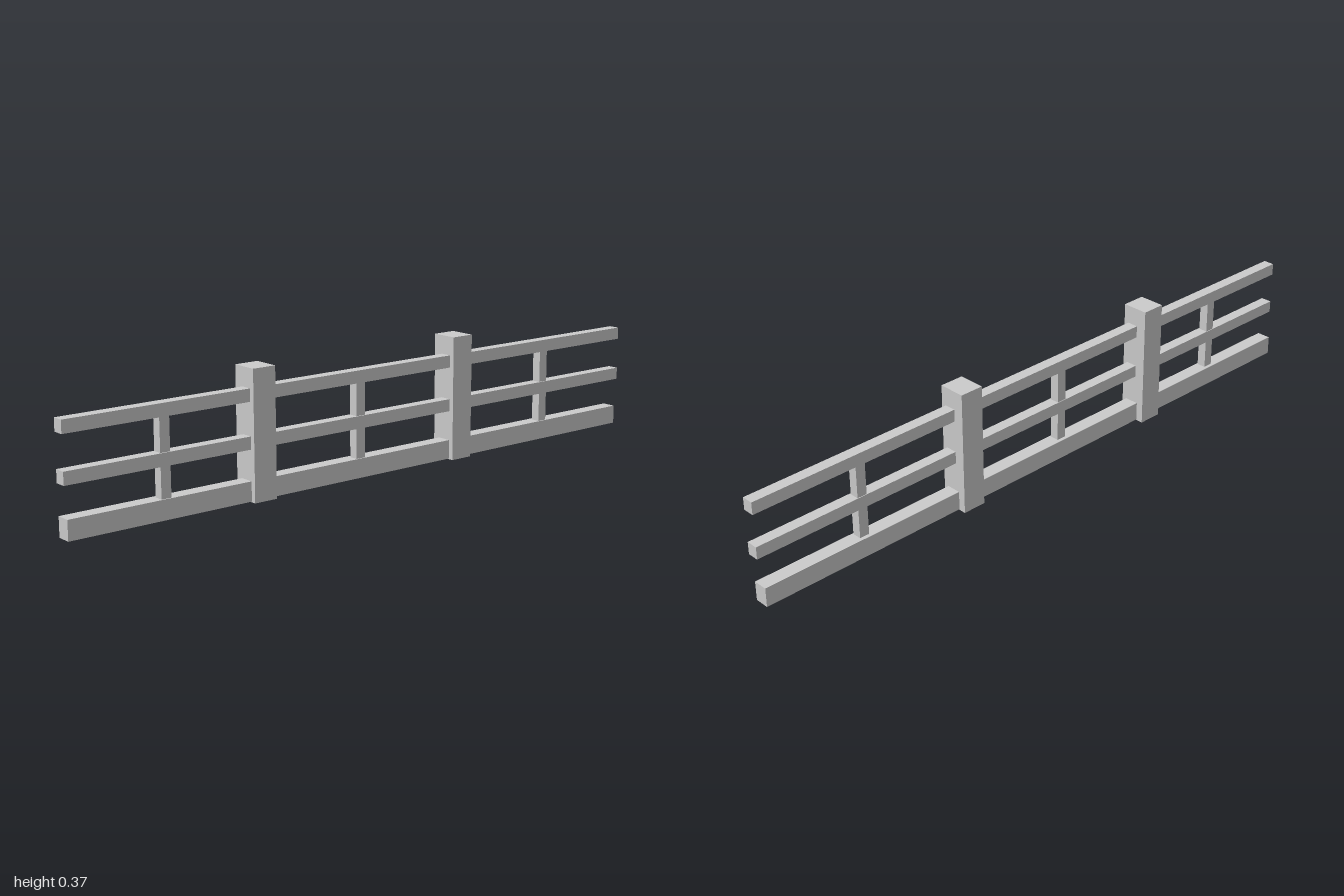
import * as THREE from 'three';

export function createModel() {
  const group = new THREE.Group();
  const material = new THREE.MeshStandardMaterial({ color: 0xcccccc, flatShading: true });

  // Box given by its extents on each axis
  const addBox = (name, [x0, x1], [y0, y1], [z0, z1]) => {
    const mesh = new THREE.Mesh(new THREE.BoxGeometry(x1 - x0, y1 - y0, z1 - z0), material);
    mesh.position.set((x0 + x1) / 2, (y0 + y1) / 2, (z0 + z1) / 2);
    mesh.name = name;
    group.add(mesh);
  };

  // Horizontal rails, set slightly forward of the post centres
  addBox('bottomRail', [-0.994, 0.991], [0.002, 0.058], [-0.018, 0.025]);
  addBox('middleRail', [-1, 1], [0.145, 0.181], [-0.009, 0.025]);
  addBox('topRail', [-1, 1], [0.275, 0.311], [-0.009, 0.025]);

  // Two main posts
  for (const x of [-0.403, 0.31]) {
    addBox('post', [x - 0.036, x + 0.036], [0, 0.366], [-0.04, 0.04]);
  }

  // Thin uprights between the bottom and top rails, split by the middle rail
  for (const x of [-0.704, -0.059, 0.666]) {
    addBox('lowerUpright', [x - 0.015, x + 0.015], [0.058, 0.145], [-0.007, 0.021]);
    addBox('upperUpright', [x - 0.015, x + 0.015], [0.181, 0.275], [-0.007, 0.021]);
  }

  return group;
}
